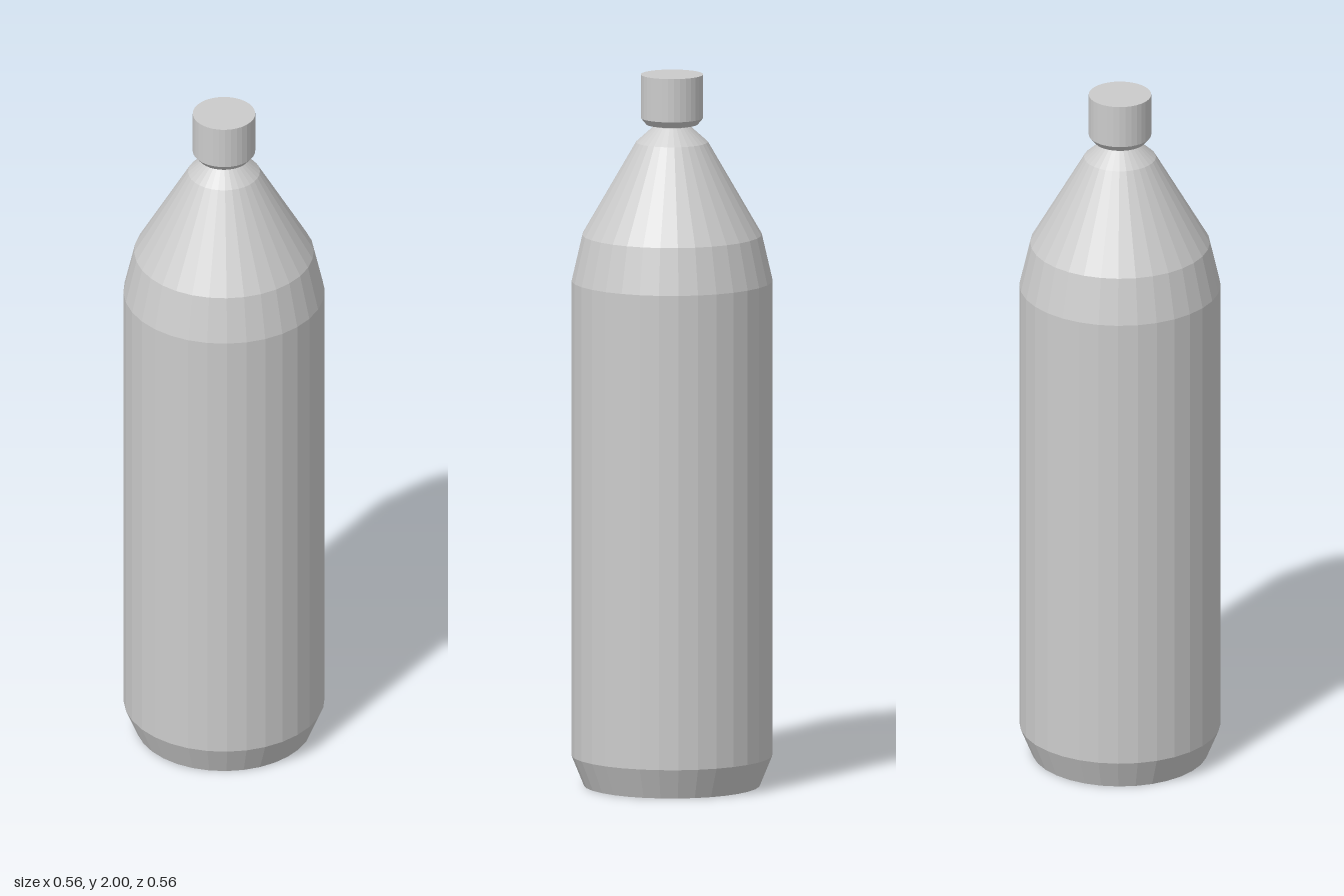
import * as THREE from 'three';

const SIDES = 32;

// Faceted solid of revolution from [radius, height] pairs, bottom to top
function turned(name, profile, material) {
  const points = profile.map(([r, y]) => new THREE.Vector2(r, y));
  const mesh = new THREE.Mesh(new THREE.LatheGeometry(points, SIDES), material);
  mesh.name = name;
  return mesh;
}

export function createModel() {
  const group = new THREE.Group();
  group.name = 'bottle';
  const material = new THREE.MeshStandardMaterial({ color: 0xcccccc, flatShading: true });

  // Body: flat base, chamfer, straight wall, two-step shoulder and rounded top
  group.add(turned('body', [
    [0, 0], [0.245, 0], [0.28, 0.085], [0.28, 1.42], [0.25, 1.55],
    [0.1, 1.81], [0.05, 1.855], [0, 1.855],
  ], material));

  // Neck: short stem running up into the cap
  group.add(turned('neck', [[0.05, 1.85], [0.05, 1.88]], material));

  // Cap: cylinder with a chamfered lower rim
  group.add(turned('cap', [
    [0, 1.86], [0.072, 1.86], [0.087, 1.878], [0.087, 2], [0, 2],
  ], material));

  return group;
}
